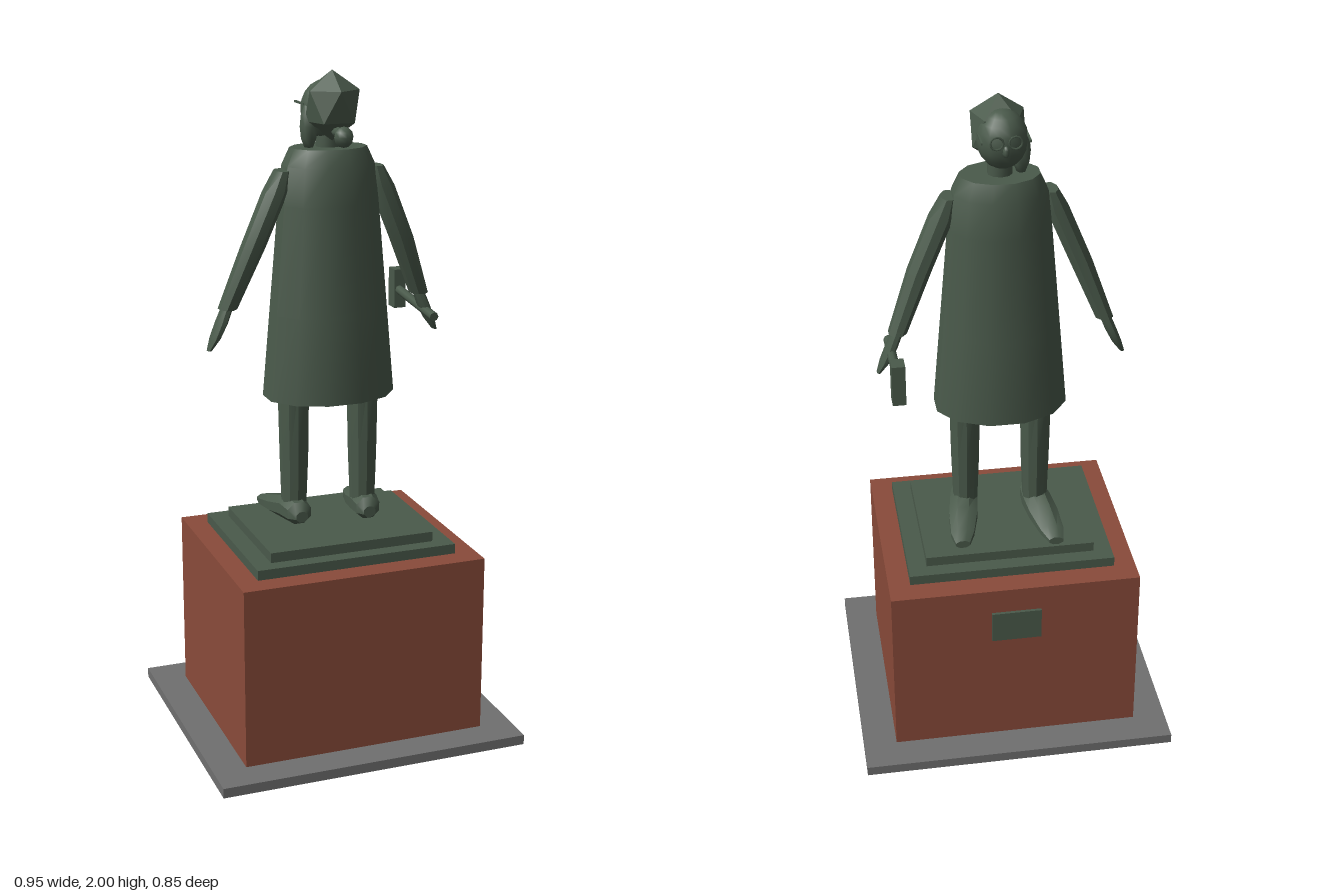
import * as THREE from 'three';
import { toCreasedNormals } from 'three/addons/utils/BufferGeometryUtils.js';

// Closed skin over horizontal elliptical rings [x, y, z, rx, rz], listed from bottom to top
function loft(rings, sides) {
  const pos = [], idx = [], n = rings.length;
  rings.forEach(([x, y, z, rx, rz]) => {
    for (let i = 0; i < sides; i++) {
      const a = ((i + 0.5) / sides) * Math.PI * 2;
      pos.push(x + rx * Math.cos(a), y, z + rz * Math.sin(a));
    }
  });
  const first = rings[0], last = rings[n - 1], lo = n * sides, hi = lo + 1;
  pos.push(first[0], first[1], first[2], last[0], last[1], last[2]);
  for (let i = 0; i < sides; i++) {
    const k = (i + 1) % sides;
    for (let j = 0; j < n - 1; j++) {
      const a = j * sides + i, c = j * sides + k;
      idx.push(a, a + sides, c, c, a + sides, c + sides);
    }
    idx.push(lo, i, k, hi, (n - 1) * sides + k, (n - 1) * sides + i);
  }
  const g = new THREE.BufferGeometry();
  g.setAttribute('position', new THREE.Float32BufferAttribute(pos, 3));
  g.setIndex(idx);
  return toCreasedNormals(g, 0.62);
}

export function createModel() {
  const model = new THREE.Group();
  const mat = (name, color) => {
    const m = new THREE.MeshStandardMaterial({ color });
    m.name = name;
    return m;
  };
  const bronze = mat('green bronze', 0x4a5a4b);
  const brick = mat('red stone', 0x8a4b3a);
  const grey = mat('grey paving', 0x707070);

  const add = (name, geo, material, parent = model) => {
    const m = new THREE.Mesh(geo, material);
    m.name = name;
    parent.add(m);
    return m;
  };
  const box = (name, w, h, d, x, y, z, material, parent) =>
    add(name, new THREE.BoxGeometry(w, h, d).translate(x, y, z), material, parent);
  const ball = (name, x, y, z, rx, ry, rz, w, h, parent) =>
    add(name, new THREE.SphereGeometry(1, w, h).scale(rx, ry, rz).translate(x, y, z), bronze, parent);

  // Pedestal
  box('pavingSlab', 0.95, 0.03, 0.85, 0, 0.015, 0, grey);
  box('pedestal', 0.75, 0.55, 0.65, 0, 0.305, 0, brick);
  box('lowerStep', 0.62, 0.03, 0.51, 0, 0.595, 0, bronze);
  box('upperStep', 0.51, 0.03, 0.42, 0, 0.625, 0, bronze);
  box('plaque', 0.15, 0.1, 0.009, 0, 0.45, -0.3295, bronze);

  // Figure, facing the plaque side
  const figure = new THREE.Group();
  figure.name = 'figure';
  model.add(figure);

  // Long coat
  add('coat', loft([
    [0, 1.045, 0, 0.2, 0.15],
    [0, 1.3, 0, 0.178, 0.133],
    [0, 1.62, 0, 0.15, 0.112],
    [0, 1.73, -0.002, 0.138, 0.106],
    [0, 1.78, -0.002, 0.115, 0.085],
  ], 12), bronze, figure);
  add('neck', loft([[0, 1.76, -0.003, 0.036, 0.034], [0, 1.84, -0.003, 0.036, 0.034]], 10), bronze, figure);

  for (const s of [-1, 1]) {
    const side = s < 0 ? 'right' : 'left';
    const step = s < 0 ? -0.025 : 0;

    // Leg
    add(side + 'Leg', loft([
      [s * 0.106, 0.68, 0.01 + step, 0.037, 0.037],
      [s * 0.105, 0.85, 0.01 + step, 0.043, 0.043],
      [s * 0.105, 1.07, 0.008 + step, 0.047, 0.046],
    ], 10), bronze, figure);

    // Shoe, lofted heel to toe and laid flat
    const shoe = loft([
      [s * 0.104, -0.08, 0.678, 0.02, 0.018],
      [s * 0.106, -0.06, 0.685, 0.04, 0.036],
      [s * 0.11, -0.01, 0.688, 0.046, 0.044],
      [s * 0.122, 0.06, 0.676, 0.047, 0.034],
      [s * 0.135, 0.14, 0.664, 0.038, 0.022],
      [s * 0.14, 0.183, 0.658, 0.023, 0.013],
    ], 8).rotateX(-Math.PI / 2).translate(0, 0, step);
    add(side + 'Shoe', shoe, bronze, figure);

    // Sleeve
    const z = s < 0 ? 0.008 : 0;
    add(side + 'Sleeve', loft([
      [s * 0.302, 1.32, z - 0.035, 0.028, 0.034],
      [s * 0.232, 1.5, z - 0.008, 0.036, 0.042],
      [s * 0.165, 1.66, z, 0.037, 0.045],
      [s * 0.145, 1.72, z, 0.022, 0.038],
    ], 8), bronze, figure);

    // Hand
    const hz = s < 0 ? -0.025 : -0.045;
    add(side + 'Hand', loft([
      [s * 0.36, 1.2, hz, 0.007, 0.014],
      [s * 0.342, 1.235, hz, 0.015, 0.03],
      [s * 0.322, 1.28, hz, 0.018, 0.032],
      [s * 0.3, 1.335, hz, 0.017, 0.022],
    ], 8), bronze, figure);
  }

  // Mallet in the left hand
  const mallet = new THREE.Group();
  mallet.name = 'mallet';
  figure.add(mallet);
  add('malletHandle', new THREE.CylinderGeometry(0.014, 0.014, 0.29, 8)
    .rotateX(-Math.PI / 2 + 0.09).translate(0.323, 1.27, -0.105), bronze, mallet);
  box('malletHead', 0.038, 0.122, 0.048, 0.325, 1.285, -0.257, bronze, mallet);

  // Head with a faceted mass of hair and a bun
  const head = new THREE.Group();
  head.name = 'head';
  figure.add(head);
  ball('face', -0.005, 1.885, -0.012, 0.072, 0.085, 0.072, 14, 10, head);
  add('hair', new THREE.IcosahedronGeometry(0.1, 0).rotateZ(-Math.atan(2 / (1 + Math.sqrt(5))))
    .rotateY(-Math.PI / 2).scale(0.88, 1, 0.84).translate(0, 1.9, 0.03), bronze, head);
  ball('hairBun', 0, 1.822, 0.125, 0.029, 0.03, 0.028, 8, 6, head);
  add('bunTie', new THREE.CylinderGeometry(0.015, 0.015, 0.05, 8)
    .rotateX(Math.PI / 2).translate(0, 1.83, 0.09), bronze, head);
  ball('sideLock', -0.06, 1.84, 0, 0.027, 0.068, 0.03, 8, 6, head);
  ball('nose', -0.005, 1.873, -0.08, 0.01, 0.018, 0.012, 6, 5, head);

  // Spectacles
  for (const s of [-1, 1]) {
    add('spectacleRim', new THREE.TorusGeometry(0.018, 0.003, 4, 12)
      .translate(-0.005 + s * 0.026, 1.9, -0.085), bronze, head);
    box('spectacleArm', 0.005, 0.006, 0.08, -0.005 + s * 0.067, 1.902, -0.045, bronze, head);
  }
  return model;
}
